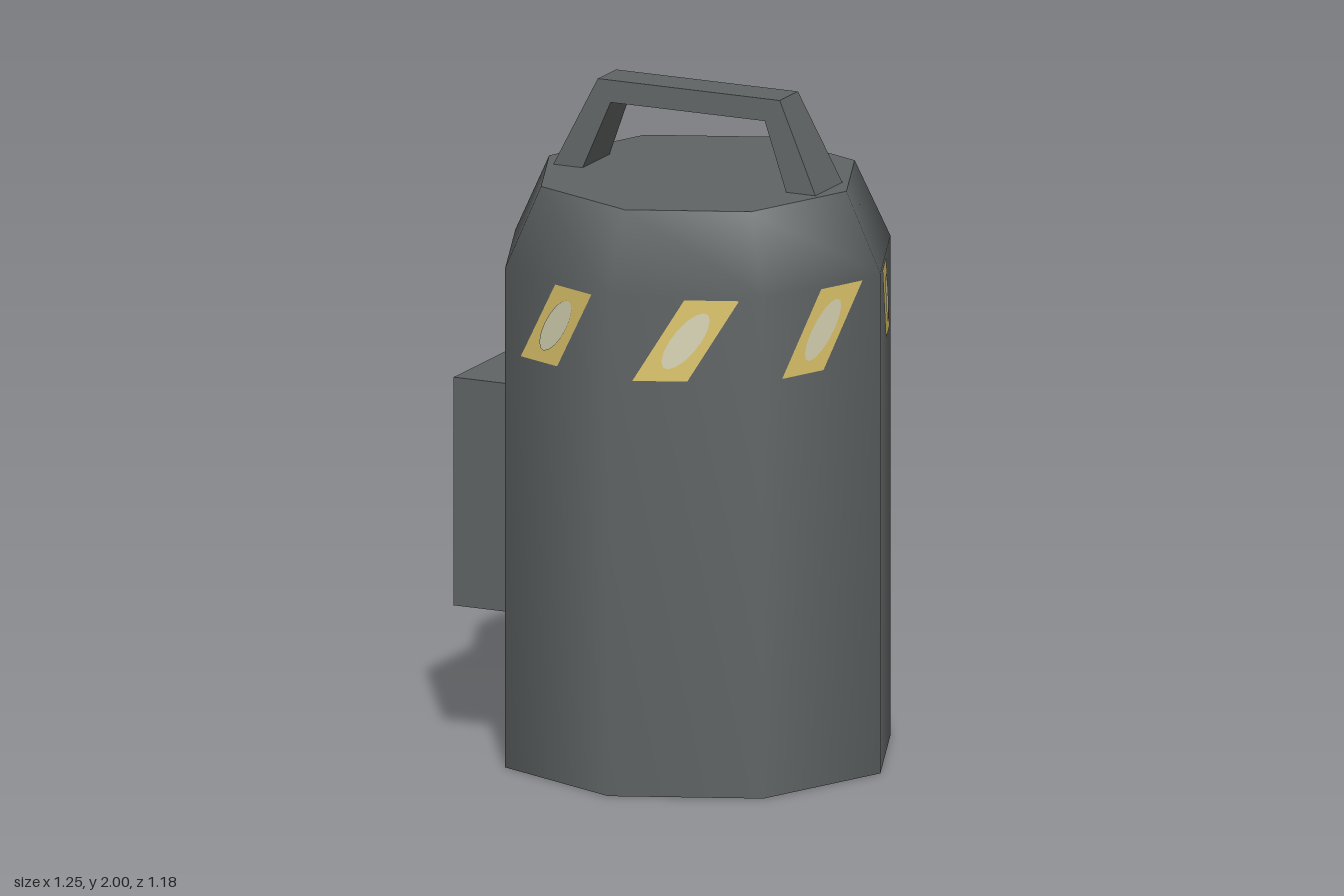
import * as THREE from 'three';

const material = (name, color, flatShading = false) => {
  const m = new THREE.MeshStandardMaterial({ color });
  m.name = name;
  m.flatShading = flatShading;
  return m;
};

const SIDES = 8, RADIUS = 0.592, TOP_RADIUS = 0.482;
const SHOULDER = 1.5, LID = 1.735, CENTRE_X = 0.027;

export function createModel() {
  const model = new THREE.Group();
  model.name = 'canister';
  const metal = material('dark grey metal', 0x606464);
  const yellow = material('hazard yellow', 0xdfc76c);
  const pale = material('pale worn paint', 0xd9d5b5);
  const green = material('screen green', 0xb4cba6);

  const add = (name, geometry, mat, parent = model) => {
    const mesh = new THREE.Mesh(geometry, mat);
    mesh.name = name;
    parent.add(mesh);
    return mesh;
  };

  // Eight-sided body with smooth walls and flat caps
  const body = new THREE.Group();
  body.name = 'body';
  body.position.x = CENTRE_X;
  model.add(body);
  const profile = [[RADIUS, 0], [RADIUS, SHOULDER], [TOP_RADIUS, LID]].map(p => new THREE.Vector2(...p));
  add('bodyWall', new THREE.LatheGeometry(profile, SIDES), metal, body);
  add('lid', new THREE.CircleGeometry(TOP_RADIUS, SIDES).rotateX(-Math.PI / 2).translate(0, LID, 0), metal, body);
  add('base', new THREE.CircleGeometry(RADIUS, SIDES).rotateX(Math.PI / 2), metal, body);

  // Slanted hazard marks, one per wall, mirrored from front to back
  const apothem = RADIUS * Math.cos(Math.PI / SIDES);
  const markY = 1.37, halfHeight = 0.122, halfWidth = 0.08, slope = 0.62;
  for (let k = 0; k < SIDES; k++) {
    const angle = (k + 0.5) * 2 * Math.PI / SIDES;
    const lean = slope * Math.sign(Math.cos(angle));
    const plate = (points, lift) => new THREE.ShapeGeometry(
      new THREE.Shape(points.map(([u, v]) => new THREE.Vector2(u + lean * v, v)))
    ).translate(0, markY, apothem + lift).rotateY(angle);
    const corners = [[-1, -1], [1, -1], [1, 1], [-1, 1]].map(([u, v]) => [u * halfWidth, v * halfHeight]);
    const oval = Array.from({ length: 16 }, (_, i) => {
      const t = i * Math.PI / 8;
      return [0.047 * Math.cos(t), 0.085 * Math.sin(t)];
    });
    add('hazardMark' + k, plate(corners, 0.002), yellow, body);
    add('hazardMarkCentre' + k, plate(oval, 0.005), pale, body);
  }

  // Carry handle: an arch that narrows in depth towards its top
  const arch = new THREE.Shape([
    [-0.425, LID], [-0.33, LID], [-0.25, 1.935], [0.25, 1.935],
    [0.33, LID], [0.425, LID], [0.295, 2], [-0.295, 2],
  ].map(p => new THREE.Vector2(...p)));
  const handle = new THREE.ExtrudeGeometry(arch, { depth: 2, bevelEnabled: false }).translate(0, 0, -1);
  const pos = handle.attributes.position;
  for (let i = 0; i < pos.count; i++) {
    const t = (pos.getY(i) - LID) / (2 - LID);
    pos.setZ(i, pos.getZ(i) * THREE.MathUtils.lerp(0.089, 0.06, t));
  }
  handle.computeVertexNormals();
  add('handle', handle, metal).position.x = CENTRE_X;

  // Control box on the right side
  add('controlBox', new THREE.BoxGeometry(0.175, 0.685, 0.57), metal).position.set(-0.5375, 0.7725, 0);

  // Rounded screen on the outer face of the box
  const w = 0.2, h = 0.157, r = 0.035;
  const screen = new THREE.Shape();
  screen.absarc(w - r, h - r, r, 0, Math.PI / 2);
  screen.absarc(r - w, h - r, r, Math.PI / 2, Math.PI);
  screen.absarc(r - w, r - h, r, Math.PI, Math.PI * 1.5);
  screen.absarc(w - r, r - h, r, Math.PI * 1.5, Math.PI * 2);
  const panel = add('screen', new THREE.ShapeGeometry(screen, 4), green);
  panel.rotation.y = -Math.PI / 2;
  panel.position.set(-0.628, 0.857, 0.005);

  return model;
}
